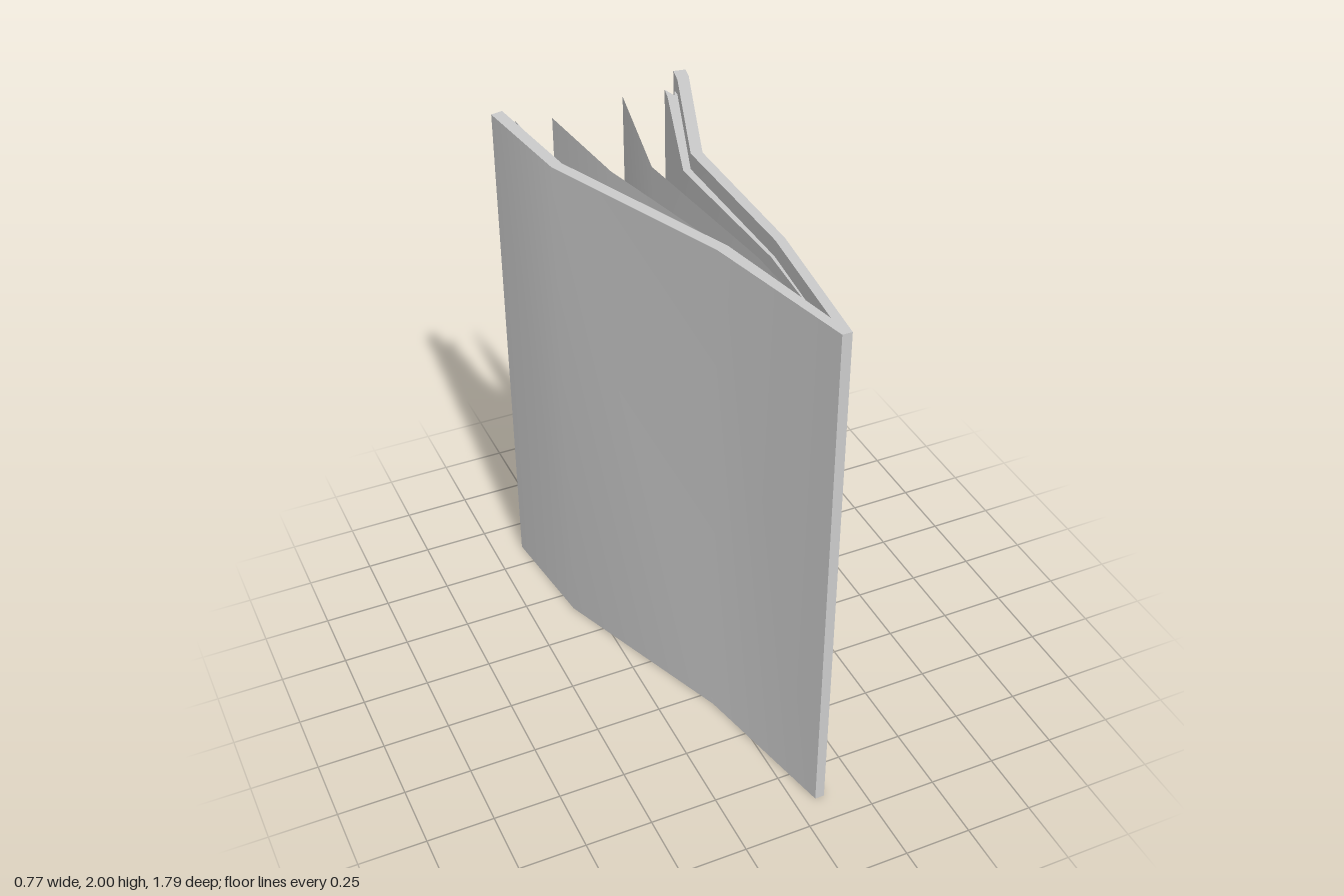
import * as THREE from 'three';
import { toCreasedNormals } from 'three/addons/utils/BufferGeometryUtils.js';

const HEIGHT = 2;
const MARGIN = 0.06; // how far the paper sits inside the cover, top and bottom

const material = new THREE.MeshStandardMaterial({ color: 0xcccccc });
const sheetMaterial = new THREE.MeshStandardMaterial({ color: 0xcccccc, side: THREE.DoubleSide });

// Upright prism from a plan outline of [x, z] points
function prism(name, outline, bottom, top) {
  const shape = new THREE.Shape(outline.map(([x, z]) => new THREE.Vector2(x, -z)));
  const extruded = new THREE.ExtrudeGeometry(shape, { depth: top - bottom, bevelEnabled: false });
  extruded.rotateX(-Math.PI / 2).translate(0, bottom, 0);
  const mesh = new THREE.Mesh(toCreasedNormals(extruded, Math.PI / 6), material);
  mesh.name = name;
  return mesh;
}

// Thin upright sheet that follows a plan path of [x, z] points
function sheet(name, path) {
  const geometry = new THREE.PlaneGeometry(1, HEIGHT - 2 * MARGIN, path.length - 1, 1);
  const pos = geometry.attributes.position;
  for (let i = 0; i < pos.count; i++) {
    const [x, z] = path[i % path.length];
    pos.setXYZ(i, x, pos.getY(i) + HEIGHT / 2, z);
  }
  geometry.computeVertexNormals();
  const mesh = new THREE.Mesh(geometry, sheetMaterial);
  mesh.name = name;
  return mesh;
}

export function createModel() {
  const book = new THREE.Group();
  book.name = 'openBook';

  // Inner faces of the two boards, from the spine to the fore edge
  const hinge = [0.09, 0.8];
  const rightInner = [[-0.01, 0.3], [-0.29, -0.42], [-0.342, -0.865]];
  const leftInner = [[0.14, 0.33], [0.135, -0.3], [0.325, -0.83], [0.34, -0.9]];

  // Cover: both boards and the spine in one bent piece
  book.add(prism('cover', [
    [0.078, 0.893], [-0.052, 0.31], [-0.332, -0.41], [-0.386, -0.855],
    ...rightInner.slice().reverse(), hinge, ...leftInner,
    [0.386, -0.893], [0.375, -0.84], [0.175, -0.29], [0.175, 0.33], [0.113, 0.893],
  ], 0, HEIGHT));

  // Page blocks lying against the boards, with uneven fore edges
  book.add(prism('rightPages', [
    hinge, rightInner[0], rightInner[1], [-0.328, -0.8], [-0.312, -0.78],
    [-0.303, -0.845], [-0.296, -0.74], [-0.288, -0.885], [-0.282, -0.69],
    [-0.25, -0.43], [0.01, 0.3],
  ], MARGIN, HEIGHT - MARGIN));
  book.add(prism('leftPages', [
    hinge, leftInner[0], leftInner[1], [0.325, -0.83], [0.328, -0.86], [0.312, -0.83],
    [0.298, -0.885], [0.285, -0.83], [0.107, -0.3], [0.128, 0.33],
  ], MARGIN, HEIGHT - MARGIN));

  // Loose pages fanned out between the blocks
  const loosePages = [
    [[0.036, 0.31], [-0.12, -0.4], [-0.16, -0.85]],
    [[0.09, 0.32], [0.02, -0.37], [0.136, -0.9]],
  ];
  loosePages.forEach((path, i) => book.add(sheet(`loosePage${i + 1}`, [hinge, ...path])));

  return book;
}
